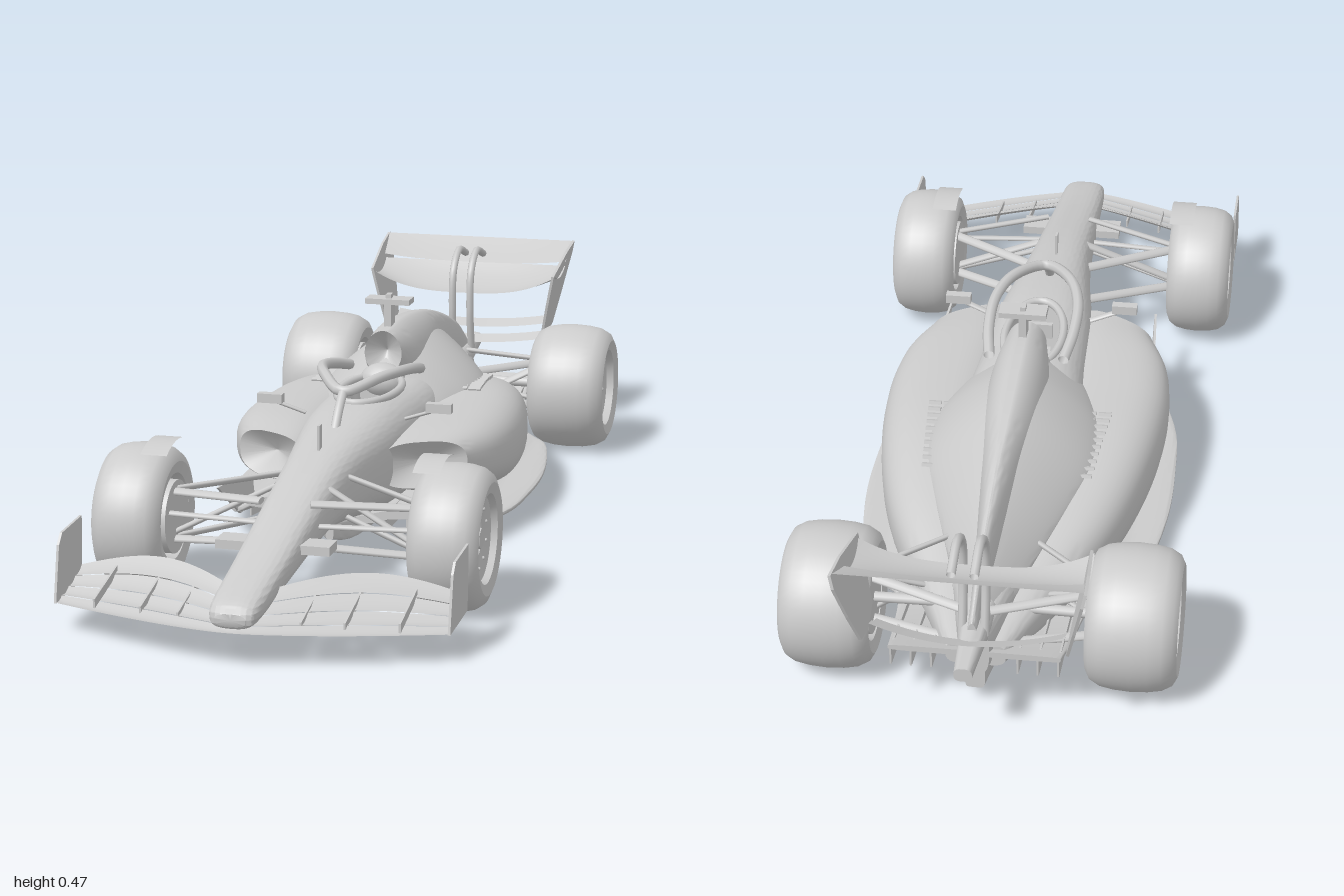
import * as THREE from 'three';
import { toCreasedNormals } from 'three/addons/utils/BufferGeometryUtils.js';
import { ParametricGeometry } from 'three/addons/geometries/ParametricGeometry.js';

const mat = new THREE.MeshStandardMaterial({ color: 0xcccccc, side: THREE.DoubleSide });
const V = (x, y, z) => new THREE.Vector3(x, y, z);
const SIDES = [1, -1];

function add(parent, name, geo, x = 0, y = 0, z = 0) {
  const m = new THREE.Mesh(geo, mat);
  m.name = name;
  m.position.set(x, y, z);
  parent.add(m);
  return m;
}

// smooth sheet from a rule f(u, v) -> [x, y, z]
function sheet(f, nu, nv) {
  return toCreasedNormals(new ParametricGeometry((u, v, t) => t.set(...f(u, v)), nu, nv), 0.7);
}

// Catmull-Rom interpolation through station rows
function sample(rows, t) {
  const s = t * (rows.length - 1), i = Math.min(Math.floor(s), rows.length - 2), f = s - i;
  const row = k => rows[Math.max(0, Math.min(rows.length - 1, k))];
  return rows[0].map((_, c) => {
    const [a, b, d, e] = [-1, 0, 1, 2].map(k => row(i + k)[c]);
    return b + 0.5 * f * (d - a + f * (2 * a - 5 * b + 4 * d - e + f * (3 * (b - d) + e - a)));
  });
}

// capped loft; stations are [z, centre x, half width, bottom, top], n = squareness
function loft(rows, { n = 2.6, nu = 40, nv = 40, inlet = 0, side = 1, warp = p => p } = {}) {
  const sp = (c, e) => Math.sign(c) * Math.pow(Math.abs(c), 2 / e);
  return sheet((u, v) => {
    const t = Math.max(0, Math.min(1, (v * nv - 1) / (nv - 2)));
    const [z, cx, w, yb, yt] = sample(rows, t);
    const k = v <= 0 || v >= 1 ? 0 : 1, a = u * Math.PI * 2;
    return warp([side * (cx + k * w * sp(Math.cos(a), n)),
      (yb + yt) / 2 + k * (yt - yb) / 2 * sp(Math.sin(a), n), z - (v <= 0 ? inlet : 0)]);
  }, nu, nv);
}

function tube(pts, r, seg = 24, closed = false) {
  return new THREE.TubeGeometry(new THREE.CatmullRomCurve3(pts.map(p => V(...p)), closed), seg, r, 8, closed);
}

// suspension arm between two points, flattened to a blade
function arm(parent, name, a, b, r = 0.006, flat = 1.8) {
  const p = V(...a), q = V(...b), m = add(parent, name, new THREE.CylinderGeometry(r, r, p.distanceTo(q), 10));
  m.position.copy(p).add(q).multiplyScalar(0.5);
  m.quaternion.setFromUnitVectors(V(0, 1, 0), q.sub(p).normalize());
  m.scale.z = flat;
}

// thin upright plate drawn in (z, y)
function plate(points, t) {
  const s = new THREE.Shape(points.map(p => new THREE.Vector2(-p[0], p[1])));
  return new THREE.ExtrudeGeometry(s, { depth: t, bevelEnabled: false }).translate(0, 0, -t / 2).rotateY(Math.PI / 2);
}

function wheel(name, w, side) {
  const g = new THREE.Group(), h = w / 2;
  g.name = name;
  const prof = [[0, -h * .5], [.08, -h * .5], [.088, -h * .92], [.112, -h], [.129, -h * .9], [.14, -h * .68], [.145, -h * .38],
    [.147, 0], [.145, h * .38], [.14, h * .68], [.129, h * .9], [.112, h], [.09, h * .92], [.085, h * .74], [.04, h * .62],
    [.036, h * .5], [.024, h * .5], [.02, h * .74], [0, h * .74]];
  const tyre = new THREE.LatheGeometry(prof.map(p => new THREE.Vector2(...p)), 48);
  add(g, 'tyreAndRim', toCreasedNormals(tyre.rotateZ(-Math.PI / 2), 0.6));
  add(g, 'brakeDrum', new THREE.CylinderGeometry(.075, .075, .04, 32).rotateZ(Math.PI / 2), -h * .7);
  for (let i = 0; i < 10; i++) {
    const a = i * Math.PI / 5;
    add(g, 'rimBolt', new THREE.SphereGeometry(.004, 8, 6), h * .67, .062 * Math.cos(a), .062 * Math.sin(a));
  }
  if (side < 0) g.rotation.y = Math.PI;
  return g;
}

export function createModel() {
  const root = new THREE.Group(), car = new THREE.Group();
  root.name = 'racingCar';
  car.name = 'car';
  root.add(car);
  car.rotation.y = -36.3 * Math.PI / 180;
  car.position.set(.0165, 0, .012);

  // nose and tub, with the cockpit sunk into its top
  const cockpit = ([x, y, z]) => [x, y > .22 && (x / .06) ** 2 + ((z - .03) / .135) ** 2 < 1 ? .19 : y, z];
  add(car, 'noseAndTub', loft([[1.05, 0, .03, .075, .1], [1.02, 0, .048, .07, .122], [.84, 0, .056, .09, .165],
    [.57, 0, .067, .115, .235], [.4, 0, .082, .1, .268], [.2, 0, .11, .07, .294], [0, 0, .122, .06, .298],
    [-.15, 0, .13, .06, .3], [-.4, 0, .12, .06, .27], [-.65, 0, .08, .06, .22], [-.88, 0, .03, .08, .19]],
    { n: 2.8, nu: 120, nv: 120, warp: cockpit }));
  const rim = [...Array(24)].map((_, i) => i * Math.PI / 12).map(a => [.063 * Math.cos(a), .296, .03 + .138 * Math.sin(a)]);
  add(car, 'cockpitRim', tube(rim, .009, 64, true));
  add(car, 'steeringWheel', new THREE.BoxGeometry(.06, .035, .012), 0, .25, .12);
  add(car, 'headrest', new THREE.SphereGeometry(.045, 20, 12).scale(1.15, .85, .9), 0, .29, -.085);

  // airbox spine, and the shoulders that slope from it down to the sidepods
  add(car, 'airboxAndSpine', loft([[-.085, 0, .042, .3, .4], [-.2, 0, .062, .22, .406], [-.35, 0, .06, .2, .393],
    [-.5, 0, .042, .18, .366], [-.65, 0, .026, .17, .327], [-.8, 0, .014, .16, .276], [-.9, 0, .01, .16, .22]],
    { n: 1.9, inlet: .04 }));
  add(car, 'engineCover', loft([[-.06, 0, .12, .16, .31], [-.14, 0, .15, .13, .345], [-.24, 0, .178, .1, .37],
    [-.36, 0, .175, .09, .372], [-.5, 0, .135, .085, .34], [-.65, 0, .085, .08, .285], [-.78, 0, .05, .08, .235],
    [-.88, 0, .025, .09, .2]], { n: 1.22, nu: 64 }));
  add(car, 'cameraStem', new THREE.BoxGeometry(.016, .06, .035), 0, .425, -.14);
  add(car, 'cameraBar', new THREE.BoxGeometry(.1, .012, .045), 0, .458, -.14);
  add(car, 'cameraAntenna', new THREE.BoxGeometry(.012, .016, .02), 0, .465, -.14);
  add(car, 'pitotTube', new THREE.BoxGeometry(.005, .055, .018), 0, .285, .435);

  // halo
  const half = [[.08, .318, -.1], [.092, .337, -.02], [.09, .354, .08], [.062, .357, .17]];
  add(car, 'halo', tube([...half, [0, .34, .25], ...half.map(p => [-p[0], p[1], p[2]]).reverse()], .012, 48));
  add(car, 'haloStrut', tube([[0, .34, .25], [0, .31, .285], [0, .27, .32]], .01, 12));

  // floor with arched tunnels and rising diffuser, and tapered keel
  const tunnel = ([x, y, z]) => {
    const t = Math.max(0, Math.min(1, (Math.abs(x) - .05) / .21)), f = Math.min(1, Math.max(0, (z + .65) / .15));
    return [x, y + .032 * f * Math.sin(Math.PI * t) ** 2, z];
  };
  add(car, 'floor', loft([[.27, 0, .2, .06, .075], [.2, 0, .262, .048, .063], [.05, 0, .314, .042, .058],
    [-.1, 0, .326, .04, .056], [-.25, 0, .326, .04, .056], [-.4, 0, .308, .04, .056], [-.53, 0, .278, .042, .058],
    [-.58, 0, .24, .045, .06], [-.63, 0, .195, .052, .068], [-.76, 0, .18, .08, .095], [-.88, 0, .17, .125, .138]],
    { n: 6, nu: 96, nv: 50, warp: tunnel }));
  add(car, 'keel', loft([[.36, 0, .008, .05, .09], [.22, 0, .04, .028, .08], [-.3, 0, .058, .026, .07],
    [-.65, 0, .045, .03, .08], [-.87, 0, .02, .04, .12]], { n: 6, nu: 24, nv: 24 }));

  // front wing: four stacked elements following a swept, arched line
  for (let e = 0; e < 4; e++) {
    add(car, 'frontWingElement', sheet((u, v) => {
      const x = (u * 2 - 1) * .388, s = Math.abs(x) / .388, arch = Math.sin(Math.PI * s);
      const chord = .13 + .02 * s + .055 * arch, t = (e + v * .95) / 4;
      return [x, .07 - .012 * s + .055 * t * t * (.4 + .6 * arch) + .012 * t - .004 * Math.sin(Math.PI * v),
        1.07 - .132 * Math.pow(s, 1.35) - t * chord];
    }, 48, 4));
  }
  // rear wing: spooned main plane, flap and beam wings
  const spoon = s => Math.pow(Math.abs(s), 3);
  add(car, 'rearWingMainPlane', sheet((u, v) => {
    const s = u * 2 - 1;
    return [s * .232, .335 + .05 * spoon(s) * (1 - v) + .055 * v * v, -.865 - .125 * v];
  }, 32, 8));
  add(car, 'rearWingFlap', sheet((u, v) => {
    const s = u * 2 - 1;
    return [s * .234, .39 + .012 * spoon(s) * (1 - v) + .05 * v, -.985 - .088 * v + .01 * v * v];
  }, 32, 6));
  for (const e of [0, 1]) {
    add(car, 'beamWing', sheet((u, v) => {
      const s = u * 2 - 1;
      return [s * .185, .2 + .03 * e + .015 * v + .02 * s * s, -.925 - .045 * e - .03 * v + .02 * s * s];
    }, 24, 4));
  }
  add(car, 'rearCrashStructure', loft([[-.8, 0, .035, .14, .21], [-.92, 0, .025, .16, .205], [-1.02, 0, .018, .175, .205]], { nu: 20, nv: 10 }));

  // sidepod fronts sweep back towards the outside
  const sweep = ([x, y, z]) => [x, y, z - .55 * (Math.abs(x) - .13) * Math.min(1, Math.max(0, (z + .1) / .33))];
  for (const s of SIDES) {
    // sidepod with inlet, undercut and cooling louvres
    add(car, 'sidepod', loft([[.24, .165, .085, .135, .235], [.12, .18, .112, .1, .248], [-.08, .186, .119, .07, .252],
      [-.28, .166, .12, .055, .248], [-.48, .122, .112, .052, .22], [-.68, .066, .076, .06, .175], [-.86, .03, .03, .09, .14]],
      { n: 2.7, inlet: .05, side: s, warp: sweep }));
    for (let i = 0; i < 10; i++) for (const j of [0, 1]) {
      const l = add(car, 'louvre', new THREE.BoxGeometry(.027, .007, .01), s * (.15 + j * .031 - i * .002), .2535 - i * i * .0002, -.2 - i * .023);
      l.rotation.x = .35;
    }
    // turning vane, front fences, long floor strakes
    const vane = add(car, 'floorVane', plate([[.165, .075], [.0, -.025], [-.14, -.035], [-.14, .015], [.03, .06]], .005), s * .242, .075, .215);
    vane.rotation.set(0, -s * .08, -s * .1);
    for (let i = 0; i < 4; i++) {
      const f = add(car, 'floorFence', plate([[.1, .04], [.1, .085], [-.1, .075], [-.1, .04]], .004), s * (.09 + i * .037), 0, .15 - i * .018);
      f.rotation.y = s * .07 * i;
    }
    for (const x of [.085, .125, .165]) {
      add(car, 'floorStrake', plate([[.1, .045], [.1, .07], [-.55, .07], [-.88, .13], [-.88, .09], [-.6, .04]], .004), s * x);
    }
    // mirror on its stalk, nose camera
    add(car, 'mirror', new THREE.BoxGeometry(.055, .02, .02), s * .185, .295, .16);
    arm(car, 'mirrorStalk', [s * .18, .29, .16], [s * .11, .265, .15], .004);
    add(car, 'noseCamera', new THREE.BoxGeometry(.06, .018, .055), s * .085, .15, .75);

    // wing end plates, flap hangers and rear pylons
    add(car, 'frontEndPlate', plate([[.935, .055], [.912, .165], [.893, .185], [.785, .19], [.79, .06]], .005), s * .388);
    for (const x of [.12, .2, .3]) {
      add(car, 'flapHanger', plate([[.07, .06], [.07, .078], [-.06, .107], [-.06, .09]], .004), s * x, 0, .955 - x * .22);
    }
    const end = add(car, 'rearEndPlate', plate([[-.858, -.055], [-.87, -.13], [-.888, -.2], [-.95, -.215], [-1.005, -.2], [-1.04, -.12],
      [-1.073, -.03], [-1.07, 0], [-.99, -.015]], .006), s * .237, .44);
    end.rotation.z = -s * .2;
    add(car, 'rearWingPylon', tube([[s * .022, .18, -.88], [s * .022, .3, -.855], [s * .022, .39, -.865], [s * .022, .43, -.92], [s * .022, .41, -1]], .009));

    // wheels
    const fw = wheel('frontWheel', .143, s), rw = wheel('rearWheel', .181, s);
    fw.position.set(s * .322, .147, .6);
    rw.position.set(s * .302, .147, -.745);
    car.add(fw, rw);
    // curved winglet over the front tyre
    add(car, 'wheelWinglet', sheet((u, v) => {
      const a = 1.15 + v * .8, r = .154 + .007 * v;
      return [s * (.25 + .055 * u), .147 + r * Math.sin(a), .6 + r * Math.cos(a)];
    }, 4, 10));

    // front suspension
    for (const [y, yb] of [[.2, .215], [.1, .13]]) {
      arm(car, 'frontWishbone', [s * .275, y, .6], [s * .055, yb, .45]);
      arm(car, 'frontWishbone', [s * .275, y, .6], [s * .05, yb, .68]);
    }
    arm(car, 'frontPushrod', [s * .265, .11, .6], [s * .055, .215, .56]);
    arm(car, 'steeringLink', [s * .27, .165, .64], [s * .05, .165, .66], .005);
    // rear suspension
    for (const [y, yb] of [[.205, .2], [.1, .12]]) {
      arm(car, 'rearWishbone', [s * .25, y, -.745], [s * .05, yb, -.56]);
      arm(car, 'rearWishbone', [s * .25, y, -.745], [s * .025, yb, -.83]);
    }
    arm(car, 'rearPullrod', [s * .24, .2, -.74], [s * .05, .11, -.66]);
    arm(car, 'driveShaft', [s * .25, .147, -.745], [s * .02, .15, -.745], .011, 1);
  }
  return root;
}
